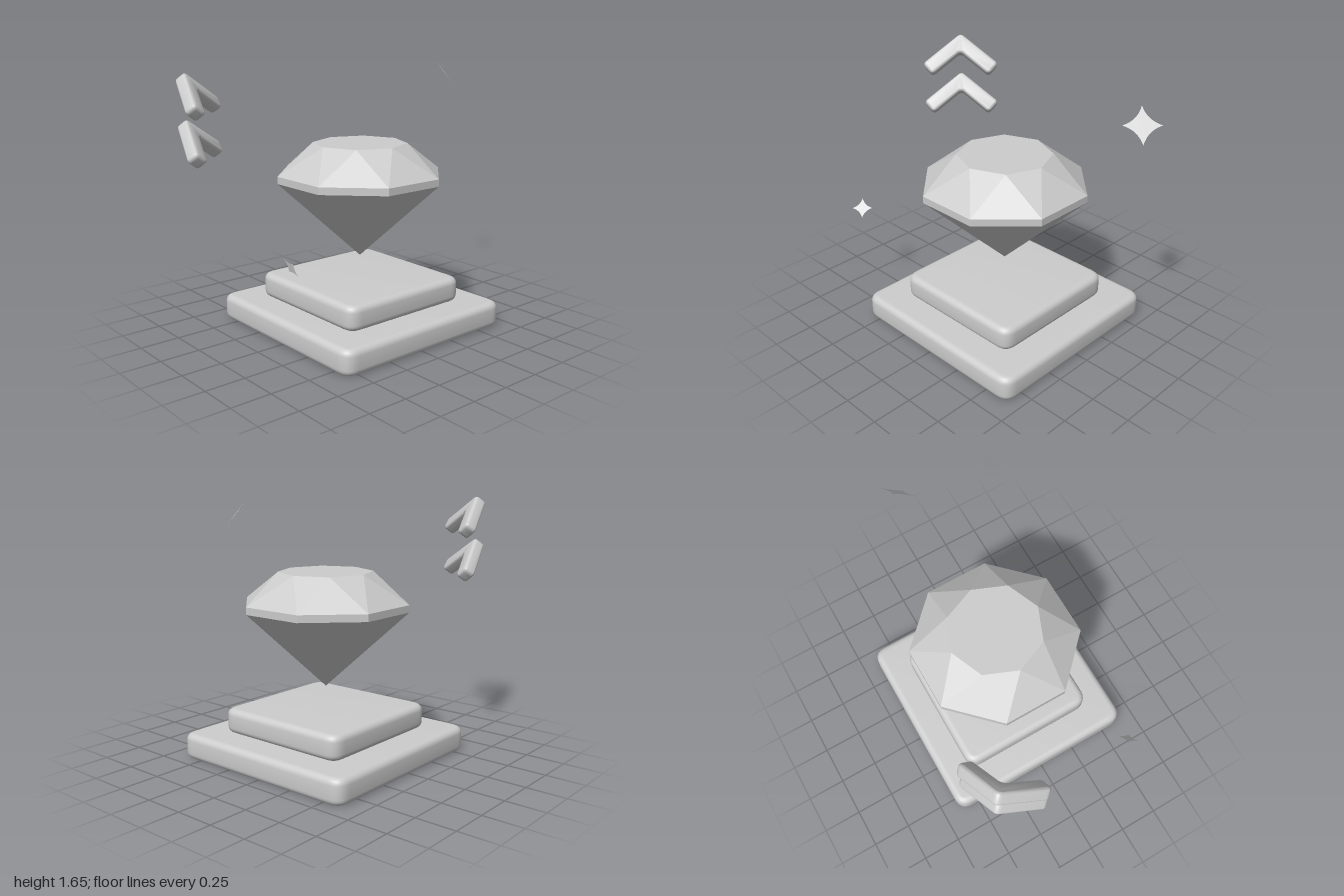
import * as THREE from 'three';
import { toCreasedNormals } from 'three/addons/utils/BufferGeometryUtils.js';

// Closed polygon with every corner rounded off
function roundedShape(points, r) {
  const pts = points.map(([x, y]) => new THREE.Vector2(x, y));
  const shape = new THREE.Shape();
  pts.forEach((p, i) => {
    const prev = pts[(i + pts.length - 1) % pts.length];
    const next = pts[(i + 1) % pts.length];
    const a = p.clone().add(prev.clone().sub(p).setLength(r));
    const b = p.clone().add(next.clone().sub(p).setLength(r));
    if (i === 0) shape.moveTo(a.x, a.y); else shape.lineTo(a.x, a.y);
    shape.quadraticCurveTo(p.x, p.y, b.x, b.y);
  });
  shape.closePath();
  return shape;
}

// Slab with soft edges, from z = 0 to z = thickness
function softSlab(shape, thickness, bevel) {
  const geometry = new THREE.ExtrudeGeometry(shape, {
    depth: thickness - 2 * bevel, curveSegments: 8, bevelEnabled: true,
    bevelThickness: bevel, bevelSize: bevel, bevelOffset: -bevel, bevelSegments: 5,
  });
  geometry.translate(0, 0, bevel);
  return toCreasedNormals(geometry, 0.6);
}

// Eight-sided cut gem with table, crown, girdle and pavilion
function gemGeometry() {
  const n = 8, step = (Math.PI * 2) / n;
  const at = (r, y, k) => [r * Math.cos(k * step), y, r * Math.sin(k * step)];
  const table = (k) => at(0.294, 1.17, k);
  const high = (k) => at(0.527, 0.985, k + 0.5);
  const low = (k) => at(0.527, 0.94, k + 0.5);
  const tip = [0, 0.445, 0], top = [0, 1.17, 0];
  const v = [];
  const tri = (a, b, c) => v.push(...a, ...b, ...c);
  for (let k = 0; k < n; k++) {
    tri(top, table(k + 1), table(k));
    tri(high(k), high(k - 1), table(k));
    tri(high(k), table(k), table(k + 1));
    tri(low(k + 1), low(k), high(k));
    tri(low(k + 1), high(k), high(k + 1));
    tri(low(k + 1), tip, low(k));
  }
  const geometry = new THREE.BufferGeometry();
  geometry.setAttribute('position', new THREE.Float32BufferAttribute(v, 3));
  geometry.computeVertexNormals();
  return geometry;
}

// Four-pointed star with hollow sides
function sparkleGeometry(r) {
  const shape = new THREE.Shape();
  const c = 0.24 * r;
  shape.moveTo(r, 0);
  shape.quadraticCurveTo(c, c, 0, r);
  shape.quadraticCurveTo(-c, c, -r, 0);
  shape.quadraticCurveTo(-c, -c, 0, -r);
  shape.quadraticCurveTo(c, -c, r, 0);
  return new THREE.ShapeGeometry(shape, 10);
}

export function createModel() {
  const group = new THREE.Group();
  const grey = new THREE.MeshStandardMaterial({ color: 0xcccccc, side: THREE.DoubleSide });
  grey.name = 'light grey';
  const cx = 0.044;

  const add = (name, geometry, x, y, z) => {
    const mesh = new THREE.Mesh(geometry, grey);
    mesh.name = name;
    mesh.position.set(x, y, z);
    group.add(mesh);
    return mesh;
  };
  // Turn a flat part to the front left and tilt it upwards
  const tilt = (mesh) => mesh.rotation.set(-0.65, Math.PI / 4, 0, 'YXZ');

  // Two-step plinth
  [['lowerStep', 1.282, 0, 0.16], ['upperStep', 0.915, 0.16, 0.155]].forEach(([name, size, y, h]) => {
    const s = size / 2;
    const square = roundedShape([[-s, -s], [s, -s], [s, s], [-s, s]], 0.09);
    add(name, softSlab(square, h, 0.04).rotateX(-Math.PI / 2), cx, y, 0);
  });

  // Floating gem
  add('gem', gemGeometry(), cx, 0, 0);

  // Pair of upward arrows, origin at the outer peak
  const arrow = roundedShape([
    [0, 0], [-0.258, -0.217], [-0.192, -0.293], [0, -0.131], [0.192, -0.293], [0.258, -0.217],
  ], 0.03);
  const arrowGeometry = softSlab(arrow, 0.08, 0.02).translate(0, 0, -0.04);
  [1.60, 1.325].forEach((y, i) => {
    tilt(add(i ? 'lowerArrow' : 'upperArrow', arrowGeometry, -0.898, y, -0.53));
  });

  // Sparkles
  tilt(add('largeSparkle', sparkleGeometry(0.109), 0.917, 1.564, -0.138));
  tilt(add('smallSparkle', sparkleGeometry(0.065), -0.826, 0.647, 0.458));

  return group;
}
